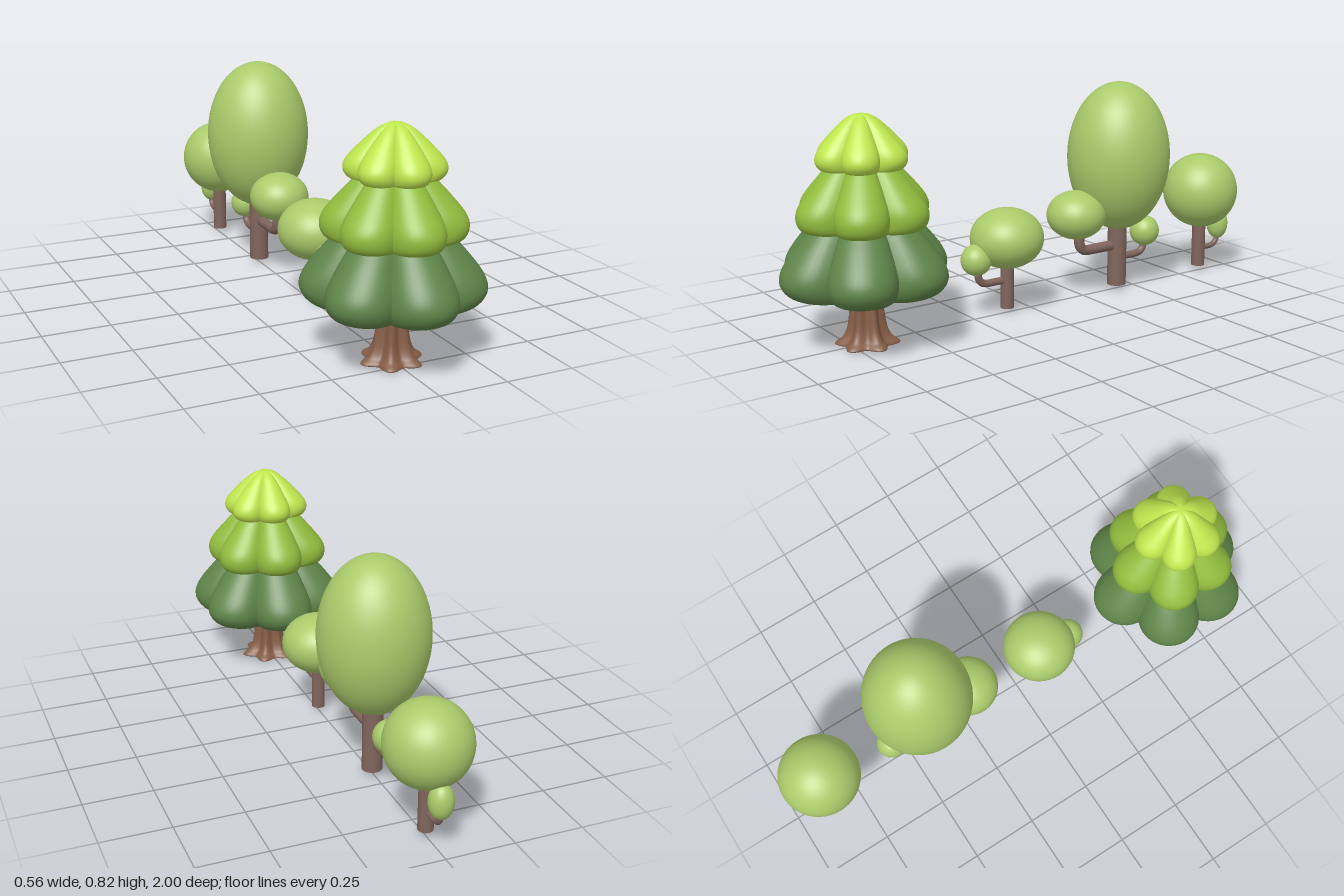
import * as THREE from 'three';
import { mergeGeometries } from 'three/addons/utils/BufferGeometryUtils.js';

const material = (color, side = THREE.FrontSide) => new THREE.MeshStandardMaterial({ color, side });
const leaf = material(0xabcb6b);
const bark = material(0x80655c);

function add(parent, name, geometry, mat, x = 0, y = 0, z = 0) {
  const mesh = new THREE.Mesh(geometry, mat);
  mesh.name = name;
  mesh.position.set(x, y, z);
  parent.add(mesh);
  return mesh;
}

// Cross-section rules across one of six lobes, phi from -30 to 30 degrees
const roundLobe = (phi) => 0.62 * Math.cos(phi) + Math.sqrt(0.38 ** 2 - (0.62 * Math.sin(phi)) ** 2);
const rootLobe = (phi) => 0.87 + 0.13 * Math.cos(6 * phi);

// Six unwelded wedges swept along a (radius, y) profile, so the grooves stay sharp
function lobedGeometry(points, lobe, turn = 0) {
  const curve = new THREE.SplineCurve(points.map(([r, y]) => new THREE.Vector2(r, y)));
  const wedges = [];
  for (let i = 0; i < 6; i++) {
    const wedge = new THREE.PlaneGeometry(1, 1, 16, 40);
    const pos = wedge.attributes.position;
    for (let j = 0; j < pos.count; j++) {
      const phi = pos.getX(j) * Math.PI / 3;
      const p = curve.getPoint(pos.getY(j) + 0.5);
      const r = Math.max(p.x, 0) * lobe(phi);
      const angle = phi + i * Math.PI / 3 + turn;
      pos.setXYZ(j, r * Math.sin(angle), p.y, r * Math.cos(angle));
    }
    wedge.computeVertexNormals();
    wedges.push(wedge);
  }
  return mergeGeometries(wedges);
}

function createPine() {
  const pine = new THREE.Group();
  pine.name = 'pineTree';
  const tiers = [
    ['lowerFoliage', 0x5f8549, [[0, 0.178], [0.12, 0.183], [0.22, 0.192], [0.275, 0.212], [0.303, 0.245],
      [0.306, 0.28], [0.288, 0.32], [0.25, 0.37], [0.205, 0.42], [0.14, 0.48], [0, 0.52]]],
    ['middleFoliage', 0x92bd3e, [[0, 0.418], [0.12, 0.419], [0.2, 0.422], [0.232, 0.44], [0.242, 0.475],
      [0.231, 0.51], [0.2, 0.55], [0.155, 0.6], [0.115, 0.64], [0.06, 0.68], [0, 0.69]]],
    ['topFoliage', 0xbfe64e, [[0, 0.622], [0.08, 0.623], [0.14, 0.625], [0.161, 0.64], [0.168, 0.663],
      [0.158, 0.69], [0.13, 0.722], [0.095, 0.757], [0.06, 0.787], [0.025, 0.805], [0, 0.808]]],
  ];
  for (const [name, color, profile] of tiers) add(pine, name, lobedGeometry(profile, roundLobe), material(color));
  // Trunk flaring into roots
  const trunk = [[0, 0.002], [0.06, 0.001], [0.109, 0.002], [0.108, 0.012], [0.086, 0.028], [0.07, 0.06],
    [0.061, 0.11], [0.057, 0.16], [0.055, 0.22]];
  add(pine, 'flaredTrunk', lobedGeometry(trunk, rootLobe, Math.PI / 6), material(0x855d46));
  return pine;
}

// Tree with an ellipsoid crown, a straight trunk and bent side branches
function createRoundTree({ name, crown, y, trunk, base, branches }) {
  const tree = new THREE.Group();
  tree.name = name;
  const ball = (label, [rxz, ry], by, bz) =>
    add(tree, label, new THREE.SphereGeometry(1, 48, 32), leaf, 0, by, bz).scale.set(rxz, ry, rxz);
  ball('crown', crown, y, 0);
  const height = y - base;
  add(tree, 'trunk', new THREE.CylinderGeometry(trunk, trunk, height, 24), bark, 0, base + height / 2, 0);
  for (const b of branches) {
    const bend = Math.sign(b.z) * 0.045;
    const path = new THREE.CurvePath();
    const v = (py, pz) => new THREE.Vector3(0, py, pz);
    path.add(new THREE.LineCurve3(v(b.low, 0), v(b.low, b.z - bend)));
    path.add(new THREE.QuadraticBezierCurve3(v(b.low, b.z - bend), v(b.low, b.z), v(b.low + 0.045, b.z)));
    path.add(new THREE.LineCurve3(v(b.low + 0.045, b.z), v(b.y, b.z)));
    add(tree, 'branch', new THREE.TubeGeometry(path, 40, b.thick, 12), bark);
    ball('branchFoliage', b.size, b.y, b.ballZ);
  }
  return tree;
}

export function createModel() {
  const model = new THREE.Group();
  model.name = 'treeRow';
  const pine = createPine();
  pine.position.z = 0.69;
  model.add(pine);

  const trees = [
    { name: 'smallTree', at: 0.105, crown: [0.137, 0.112], y: 0.288, trunk: 0.025, base: 0.02, branches: [
      { z: 0.128, ballZ: 0.135, low: 0.128, y: 0.225, thick: 0.014, size: [0.057, 0.058] }] },
    { name: 'tallTree', at: -0.417, crown: [0.198, 0.288], y: 0.535, trunk: 0.037, base: 0.02, branches: [
      { z: 0.187, ballZ: 0.203, low: 0.18, y: 0.329, thick: 0.02, size: [0.113, 0.093] },
      { z: -0.135, ballZ: -0.139, low: 0.128, y: 0.216, thick: 0.014, size: [0.058, 0.06] }] },
    { name: 'backTree', at: -0.85, crown: [0.15, 0.15], y: 0.342, trunk: 0.027, base: 0.025, branches: [
      { z: -0.102, ballZ: -0.102, low: 0.096, y: 0.187, thick: 0.011, size: [0.043, 0.064] }] },
  ];
  for (const spec of trees) {
    const tree = createRoundTree(spec);
    tree.position.z = spec.at;
    model.add(tree);
  }
  return model;
}
